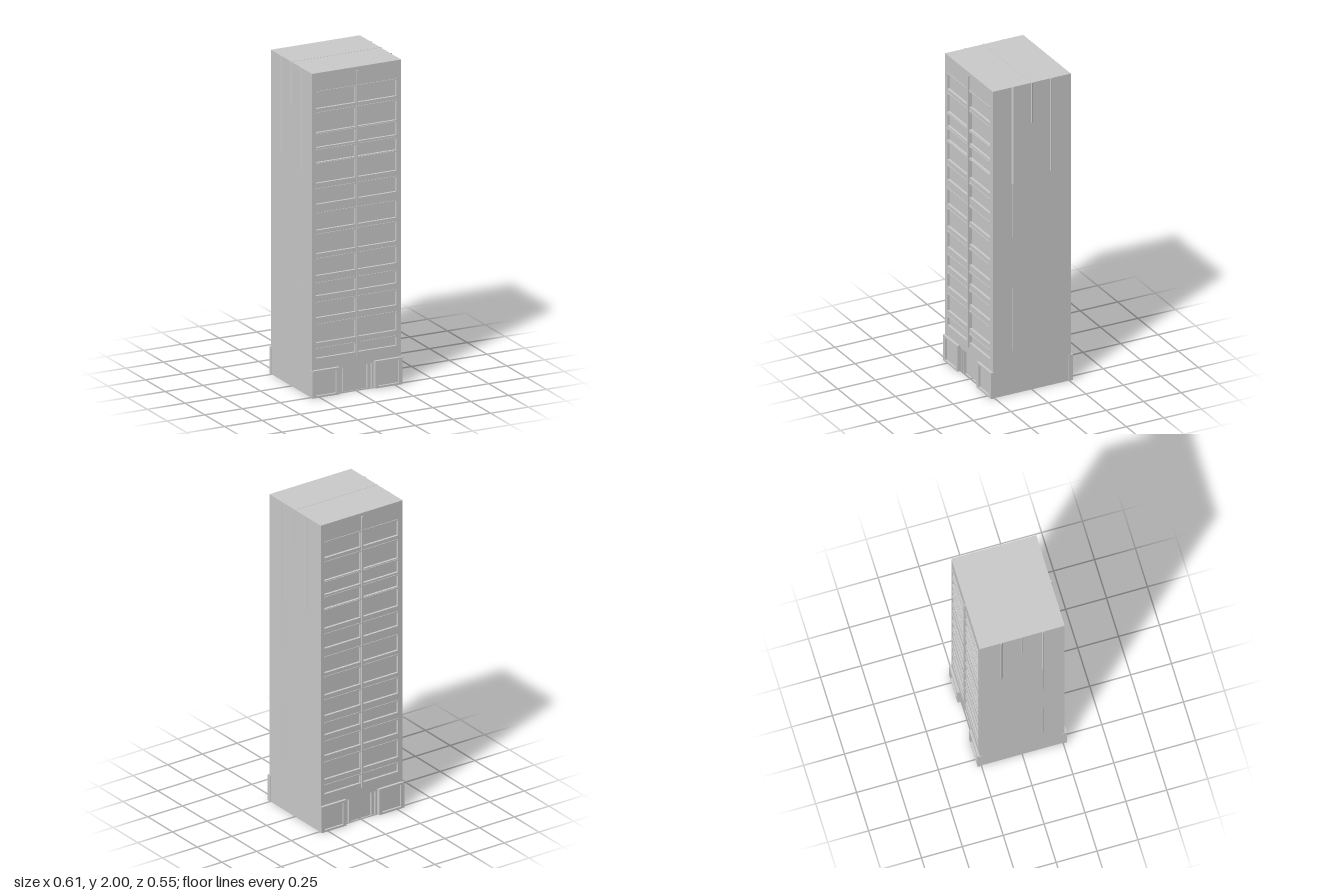
import * as THREE from 'three';

const material = new THREE.MeshStandardMaterial({ color: 0xcccccc, flatShading: true });

// Box given by its limits on each axis
function box(parent, name, x0, x1, y0, y1, z0, z1) {
  const mesh = new THREE.Mesh(new THREE.BoxGeometry(x1 - x0, y1 - y0, z1 - z0), material);
  mesh.position.set((x0 + x1) / 2, (y0 + y1) / 2, (z0 + z1) / 2);
  mesh.name = name;
  parent.add(mesh);
  return mesh;
}

function rectPath(PathType, x0, x1, y0, y1) {
  return new PathType([[x0, y0], [x1, y0], [x1, y1], [x0, y1]].map(p => new THREE.Vector2(...p)));
}

// Plate with rectangular holes, from z0 to z1
function plate(parent, name, limits, holes, z0, z1) {
  const shape = rectPath(THREE.Shape, ...limits);
  holes.forEach(h => shape.holes.push(rectPath(THREE.Path, ...h)));
  const geometry = new THREE.ExtrudeGeometry(shape, { depth: z1 - z0, bevelEnabled: false });
  const mesh = new THREE.Mesh(geometry, material);
  mesh.position.z = z0;
  mesh.name = name;
  parent.add(mesh);
}

// Slim triangular rib standing on a wall at x = 0, pointing to +x
function rib(parent, name, x, y0, y1, z, reach, half) {
  const shape = new THREE.Shape([[0, -half], [reach, 0], [0, half]].map(p => new THREE.Vector2(...p)));
  const geometry = new THREE.ExtrudeGeometry(shape, { depth: y1 - y0, bevelEnabled: false });
  geometry.rotateX(-Math.PI / 2);
  const mesh = new THREE.Mesh(geometry, material);
  mesh.position.set(x, y0, z);
  mesh.name = name;
  parent.add(mesh);
}

// Bottom and top of each window row
const rows = [
  [0.24, 0.295], [0.335, 0.445], [0.49, 0.58], [0.625, 0.70], [0.75, 0.85],
  [0.885, 1.0], [1.03, 1.13], [1.19, 1.28], [1.32, 1.435], [1.447, 1.52],
  [1.54, 1.618], [1.632, 1.75], [1.78, 1.88],
];

function facade(name) {
  const group = new THREE.Group();
  group.name = name;

  // Wall frame with two windows per floor
  const holes = [];
  for (const [y0, y1] of rows) {
    holes.push([-0.268, -0.008, y0, y1], [0.008, 0.263, y0, y1]);
  }
  plate(group, 'windowFrame', [-0.295, 0.295, 0.17, 2], holes, 0.244, 0.26);

  // Thin ledge above each row, and the central mullion
  for (const [, y1] of rows) box(group, 'windowLedge', -0.268, 0.263, y1, y1 + 0.008, 0.25, 0.264);
  box(group, 'mullion', -0.005, 0.005, 0.21, 1.98, 0.245, 0.27);

  // Ground floor corner bays, with sunk panels
  for (const s of [-1, 1]) {
    const a = s < 0 ? -0.298 : 0.12, b = s < 0 ? -0.12 : 0.298;
    const p0 = s < 0 ? -0.275 : 0.14, p1 = s < 0 ? -0.14 : 0.275;
    plate(group, 'cornerBayFrame', [a, b, 0, 0.168], [[p0, p1, 0.012, 0.155]], 0.245, 0.273);
    box(group, 'cornerBayPanel', a + 0.005, b - 0.005, 0, 0.168, 0.225, 0.26);
  }

  // Set-back entrance
  box(group, 'entranceWall', -0.125, 0.125, 0, 0.17, 0.225, 0.237);
  for (const x of [-0.11, -0.08, 0.08, 0.11]) {
    box(group, 'entrancePost', x - 0.005, x + 0.005, 0, 0.165, 0.23, 0.252);
  }
  box(group, 'entranceLintel', -0.115, 0.115, 0.155, 0.17, 0.23, 0.255);
  return group;
}

export function createModel() {
  const model = new THREE.Group();
  model.name = 'tower';

  // Main shaft and roof
  box(model, 'shaft', -0.295, 0.295, 0.17, 2, -0.245, 0.245);
  box(model, 'roofRidge', -0.295, 0.295, 1.997, 2.001, -0.004, 0.004);

  // Front and back facades
  const front = facade('frontFacade');
  const back = facade('backFacade');
  back.rotation.y = Math.PI;
  model.add(front, back);

  // Hollow ground floor: side walls, ceiling and partitions
  for (const s of [-1, 1]) {
    const x = s * 0.289;
    box(model, 'sideWall', x - 0.006, x + 0.006, 0, 0.17, -0.26, 0.26);
    box(model, 'lengthPartition', s * 0.12 - 0.005, s * 0.12 + 0.005, 0.005, 0.17, -0.23, 0.23);
    box(model, 'crossPartition', -0.285, 0.285, 0.005, 0.17, s * 0.11 - 0.005, s * 0.11 + 0.005);
  }
  box(model, 'groundCeiling', -0.285, 0.285, 0.09, 0.17, -0.23, 0.23);

  // Ribs on both side walls
  for (const s of [-1, 1]) {
    const side = new THREE.Group();
    side.name = s > 0 ? 'leftRibs' : 'rightRibs';
    if (s < 0) side.rotation.y = Math.PI;
    rib(side, 'longRib', 0.294, 1.37, 2, s * 0.128, 0.009, 0.007);
    rib(side, 'lowerRib', 0.294, 1.02, 1.37, s * 0.13, 0.004, 0.003);
    rib(side, 'baseRib', 0.294, 0.28, 0.69, s * 0.13, 0.004, 0.003);
    rib(side, 'middleRib', 0.294, 1.74, 2, 0, 0.006, 0.005);
    rib(side, 'rearRib', 0.294, 1.4, 2, s * -0.128, 0.009, 0.007);
    model.add(side);
  }
  return model;
}
